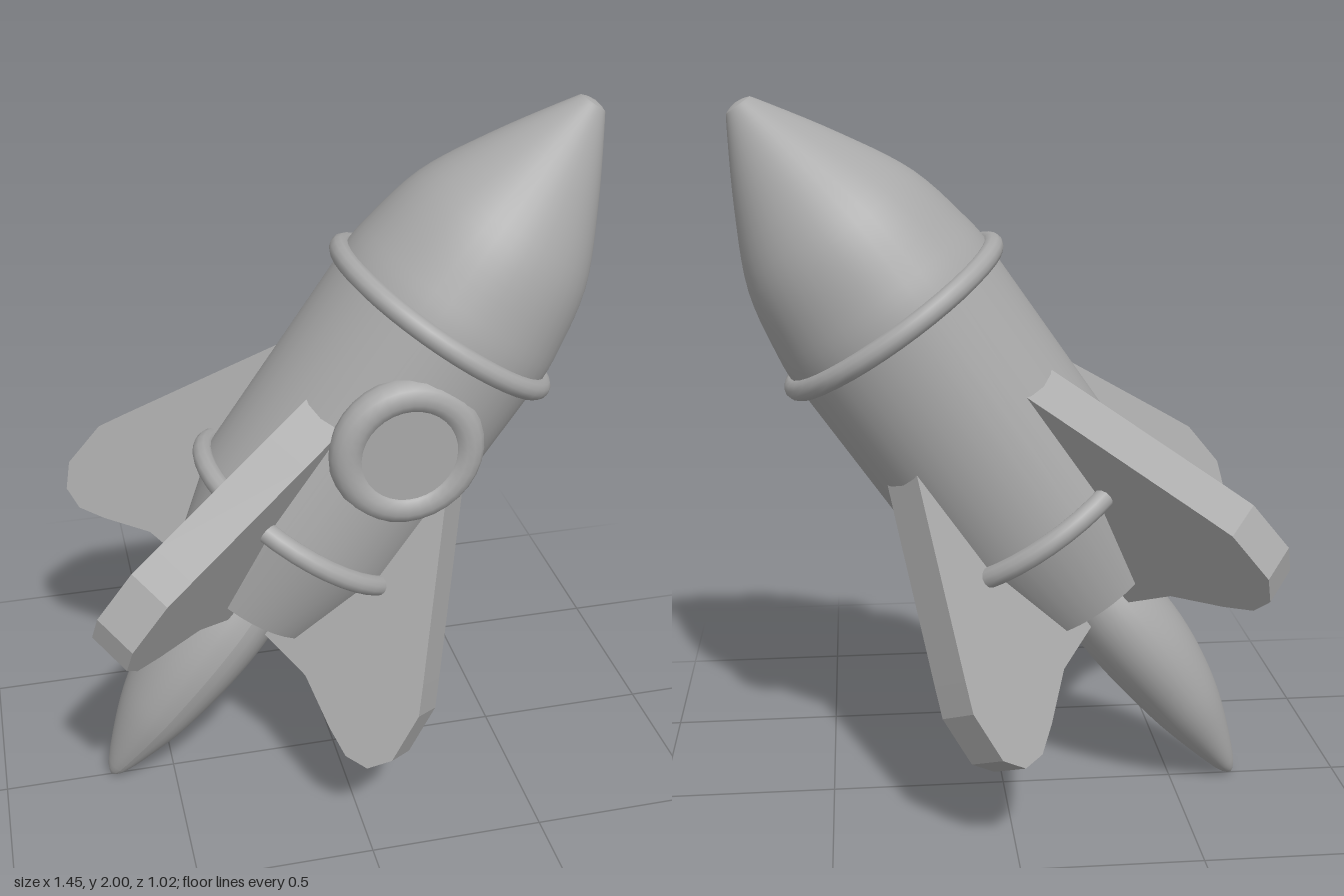
import * as THREE from 'three';

const TILT = THREE.MathUtils.degToRad(35);

// Smooth profile of [radius, height] points, turned about the rocket's axis
function smoothLathe(points, steps = 24, segments = 40) {
  const curve = new THREE.SplineCurve(points.map(([r, h]) => new THREE.Vector2(r, h)));
  const profile = curve.getPoints(steps);
  profile.forEach((p) => { p.x = Math.max(p.x, 0); });
  return new THREE.LatheGeometry(profile, segments);
}

export function createModel() {
  const grey = new THREE.MeshStandardMaterial({ color: 0xa8a8a8 });
  grey.name = 'grey';

  const model = new THREE.Group();
  model.name = 'rocket';
  // The rocket is built upright from its flame tip, then leaned over
  const rocket = new THREE.Group();
  rocket.name = 'tiltedRocket';
  rocket.position.set(-0.69, 0.01, 0);
  rocket.rotation.z = -TILT;
  model.add(rocket);

  const add = (name, geometry) => {
    const mesh = new THREE.Mesh(geometry, grey);
    mesh.name = name;
    rocket.add(mesh);
    return mesh;
  };

  // Nose cone with a small blunt tip
  add('noseCone', smoothLathe([
    [0.326, 1.727], [0.316, 1.82], [0.272, 2.01], [0.172, 2.2],
    [0.055, 2.385], [0.032, 2.411], [0, 2.418],
  ], 30));

  // Hull and tapered tail
  const hull = add('hull', new THREE.CylinderGeometry(0.322, 0.322, 0.69, 40));
  hull.position.y = 1.385;
  const tail = add('tail', new THREE.CylinderGeometry(0.315, 0.237, 0.286, 40));
  tail.position.y = 0.907;

  // Raised bands
  for (const [name, height] of [['upperBand', 1.727], ['lowerBand', 1.045]]) {
    const band = add(name, new THREE.TorusGeometry(0.331, 0.029, 12, 40));
    band.rotation.x = Math.PI / 2;
    band.position.y = height;
  }

  // Porthole on the front
  const frame = add('portholeFrame', new THREE.TorusGeometry(0.163, 0.047, 14, 32));
  frame.position.set(0, 1.43, 0.29);
  const pane = add('portholePane', new THREE.CylinderGeometry(0.13, 0.13, 0.06, 32));
  pane.rotation.x = Math.PI / 2;
  pane.position.set(0, 1.43, 0.292);

  // Four swept fins, set diagonally
  const fin = new THREE.Shape([
    [0.15, 0.71], [0.315, 0.702], [0.46, 0.635], [0.545, 0.605], [0.614, 0.622],
    [0.655, 0.69], [0.638, 0.84], [0.595, 0.915], [0.385, 1.272], [0.25, 1.5], [0.15, 1.5],
  ].map(([r, h]) => new THREE.Vector2(r, h)));
  const finGeometry = new THREE.ExtrudeGeometry(fin, { depth: 0.13, bevelEnabled: false });
  finGeometry.translate(0, 0, -0.065);
  for (let i = 0; i < 4; i++) {
    add('fin', finGeometry).rotation.y = Math.PI / 4 + (i * Math.PI) / 2;
  }

  // Flame: flattened sideways and slightly bowed
  const flameGeometry = smoothLathe([
    [0, 0], [0.045, 0.05], [0.122, 0.23], [0.16, 0.37],
    [0.182, 0.52], [0.183, 0.66], [0.165, 0.78],
  ], 24, 32);
  const p = flameGeometry.attributes.position;
  for (let i = 0; i < p.count; i++) {
    const bow = -0.02 * Math.sin((Math.PI * p.getY(i)) / 0.8);
    p.setX(i, p.getX(i) * 0.76 + bow);
  }
  flameGeometry.computeVertexNormals();
  add('flame', flameGeometry);

  return model;
}
